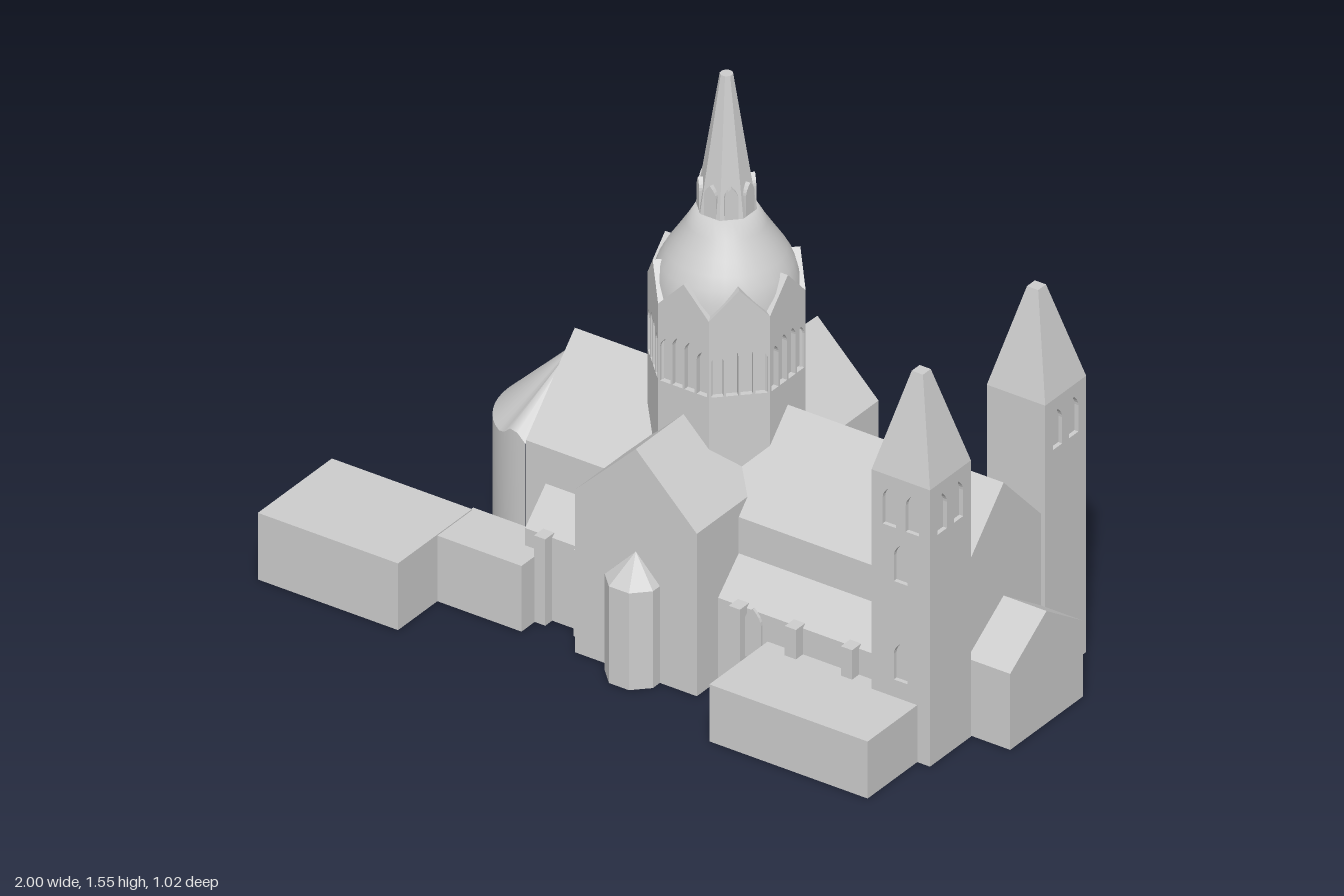
import * as THREE from 'three';

const AXIS_Z = -0.047; // long axis of the church
const CROSS_X = 0.03;  // centre of the crossing

export function createModel() {
  const root = new THREE.Group();
  root.name = 'church';
  const stone = new THREE.MeshStandardMaterial({ color: 0xcccccc });
  stone.name = 'pale grey stone';

  const add = (name, geo, parent = root) => {
    const mesh = new THREE.Mesh(geo, stone);
    mesh.name = name;
    parent.add(mesh);
    return mesh;
  };
  const group = (name, x, z, parent = root) => {
    const g = new THREE.Group();
    g.name = name;
    g.position.set(x, 0, z);
    parent.add(g);
    return g;
  };
  const box = (name, x0, x1, y0, y1, z0, z1, parent = root) =>
    add(name, new THREE.BoxGeometry(x1 - x0, y1 - y0, z1 - z0)
      .translate((x0 + x1) / 2, (y0 + y1) / 2, (z0 + z1) / 2), parent);
  const poly = (pts) => new THREE.Shape(pts.map(([x, y]) => new THREE.Vector2(x, y)));
  const extrude = (shape, depth) =>
    new THREE.ExtrudeGeometry(shape, { depth, bevelEnabled: false, curveSegments: 4 });
  const faceted = (geo) => {
    const g = geo.toNonIndexed();
    g.computeVertexNormals();
    return g;
  };
  // Eight-sided frustum with flats facing the axes, sized by its flats
  const octagon = (top, bottom, y0, y1) => {
    const k = 1 / Math.cos(Math.PI / 8);
    return faceted(new THREE.CylinderGeometry(top * k, bottom * k, y1 - y0, 8, 1, false, Math.PI / 8))
      .translate(0, (y0 + y1) / 2, 0);
  };
  // Pointed arch outline
  const trace = (path, x, y, w, h) => {
    const s = y + h - w * 0.85, r = w / 2;
    path.moveTo(x - r, y);
    path.lineTo(x + r, y);
    path.lineTo(x + r, s);
    path.quadraticCurveTo(x + r, s + w * 0.4, x, y + h);
    path.quadraticCurveTo(x - r, s + w * 0.4, x - r, s);
    path.closePath();
    return path;
  };
  // Wall slab facing +z with arched openings [x, y, w, h]
  const wall = (half, y0, y1, windows, depth) => {
    const s = poly([[-half, y0], [half, y0], [half, y1], [-half, y1]]);
    s.holes = windows.map((w) => trace(new THREE.Path(), ...w));
    return extrude(s, depth);
  };
  const house = (half, eave, ridge) =>
    poly([[-half, 0], [half, 0], [half, eave], [0, ridge], [-half, eave]]);
  const alongX = (name, shape, x0, x1) =>
    add(name, extrude(shape, x1 - x0).rotateY(Math.PI / 2).translate(x0, 0, AXIS_Z));

  // Nave, aisles, entrance porch and transept
  alongX('nave', house(0.211, 0.43, 0.652), -0.43, 0.87);
  alongX('aisles', poly([[-0.3, 0], [0.3, 0], [0.3, 0.24], [0.211, 0.325], [-0.211, 0.325], [-0.3, 0.24]]), -0.37, 0.72);
  alongX('entrancePorch', house(0.157, 0.22, 0.325), 0.86, 1);
  add('transept', extrude(house(0.185, 0.47, 0.652), 0.785).translate(CROSS_X, 0, -0.44));

  // Small octagonal chapels on the transept ends
  for (const z of [0.345, -0.44]) {
    const g = group('transeptChapel', CROSS_X, z);
    add('chapelWall', octagon(0.073, 0.073, 0, 0.28), g);
    add('chapelRoof', octagon(0.0005, 0.073, 0.28, 0.355), g);
  }

  // Buttresses and aisle windows
  for (const side of [1, -1]) {
    const z = AXIS_Z + side * 0.3;
    for (const x of [-0.305, -0.185, 0.285, 0.455, 0.625]) {
      const outer = z + side * 0.03, inner = z - side * 0.01;
      box('buttress', x - 0.017, x + 0.017, 0, 0.25, Math.min(outer, inner), Math.max(outer, inner));
    }
    const spots = side > 0 ? [0.325] : [-0.245, 0.245, 0.37, 0.54, 0.67];
    for (const x of spots) {
      const y = side > 0 ? 0.105 : 0.07;
      add('aisleWindow', extrude(trace(new THREE.Shape(), x, y, 0.05, 0.145), 0.008)
        .translate(0, 0, side > 0 ? z : z - 0.008));
    }
  }

  // Rounded apse: strips of points swept around a half ellipse
  const SEG = 24;
  const strip = (rows) => {
    const pos = [], index = [];
    for (const row of rows) {
      for (let i = 0; i <= SEG; i++) pos.push(...row((i / SEG - 0.5) * Math.PI));
    }
    for (let r = 0; r < rows.length - 1; r++) {
      for (let i = 0; i < SEG; i++) {
        const a = r * (SEG + 1) + i, b = a + SEG + 1;
        index.push(a, a + 1, b, a + 1, b + 1, b);
      }
    }
    const g = new THREE.BufferGeometry();
    g.setAttribute('position', new THREE.Float32BufferAttribute(pos, 3));
    g.setIndex(index);
    g.computeVertexNormals();
    return g;
  };
  const rim = (t) => 0.41 + 0.038 * Math.exp(-(((Math.abs(t) - 1.37) / 0.17) ** 2));
  const ring = (y) => (t) => [-0.2 * Math.cos(t), y(t), 0.213 * Math.sin(t)];
  const point = (y) => () => [0, y, 0];
  const apse = group('apse', -0.43, AXIS_Z);
  add('apseWall', strip([ring(() => 0), ring(rim)]), apse);
  add('apseRoof', strip([ring(rim), point(0.605)]), apse);
  add('apseFloor', strip([point(0), ring(() => 0)]), apse);

  // Twin towers, windowed on the outer and entrance sides
  const R = 0.0885, D = 0.012;
  const pair = [[-0.035, 0.655, 0.04, 0.11], [0.035, 0.655, 0.04, 0.11]];
  const singles = [[0, 0.5, 0.042, 0.11], [0, 0.215, 0.042, 0.11]];
  for (const side of [1, -1]) {
    const g = group('tower', 0.795, AXIS_Z + side * 0.249);
    const zi = -side * R, zo = side * (R - D);
    box('towerCore', -R, R - D, 0, 0.8, Math.min(zi, zo), Math.max(zi, zo), g);
    add('towerOuterWall', wall(R, 0, 0.8, [...pair, ...singles], D).translate(0, 0, R - D), g)
      .rotation.y = side > 0 ? 0 : Math.PI;
    add('towerEntranceWall', wall(R, 0, 0.8, pair, D).translate(0, 0, R - D), g).rotation.y = Math.PI / 2;
    add('towerSpire', faceted(new THREE.CylinderGeometry(0.024, R * Math.SQRT2, 0.275, 4))
      .rotateY(Math.PI / 4).translate(0, 0.9375, 0), g);
  }

  // Octagonal crossing tower with arcade, gables, bell-shaped roof and spire
  const crossing = group('crossingTower', CROSS_X, AXIS_Z);
  const A = 0.186, H = A * Math.tan(Math.PI / 8);
  add('drumCore', octagon(A - 0.015, A - 0.015, 0.4, 0.945), crossing);
  const arcade = [-1.5, -0.5, 0.5, 1.5].map((k) =>
    [k * 0.037, 0.725, 0.031, Math.abs(k) > 1 ? 0.125 : 0.14]);
  for (let i = 0; i < 8; i++) {
    const face = group('drumSide', 0, 0, crossing);
    face.rotation.y = (i * Math.PI) / 4;
    add('arcadeWall', wall(H, 0.4, 0.945, arcade, 0.015).translate(0, 0, A - 0.015), face);
    add('gable', extrude(poly([[-H, 0.945], [H, 0.945], [0, 1.027]]), 0.06).translate(0, 0, A - 0.06), face);
    add('spireDormer', extrude(trace(new THREE.Shape(), 0, 1.165, 0.036, 0.09), 0.03)
      .translate(0, 0, 0.042), face);
  }
  const bell = [[0.186, 0.945], [0.182, 0.98], [0.17, 1.015], [0.152, 1.047], [0.13, 1.08], [0.102, 1.123], [0.078, 1.165], [0, 1.168]];
  add('bellRoof', new THREE.LatheGeometry(bell.map(([x, y]) => new THREE.Vector2(x, y)), 32), crossing);
  add('spire', octagon(0.016, 0.072, 1.165, 1.548), crossing);

  // Low flat-roofed outbuildings
  box('entranceAnnex', 0.365, 0.845, 0, 0.165, 0.25, 0.505);
  box('longAnnex', -1, -0.575, 0, 0.193, 0.19, 0.51);
  box('annexLink', -0.58, -0.32, 0, 0.19, 0.178, 0.34);

  return root;
}
